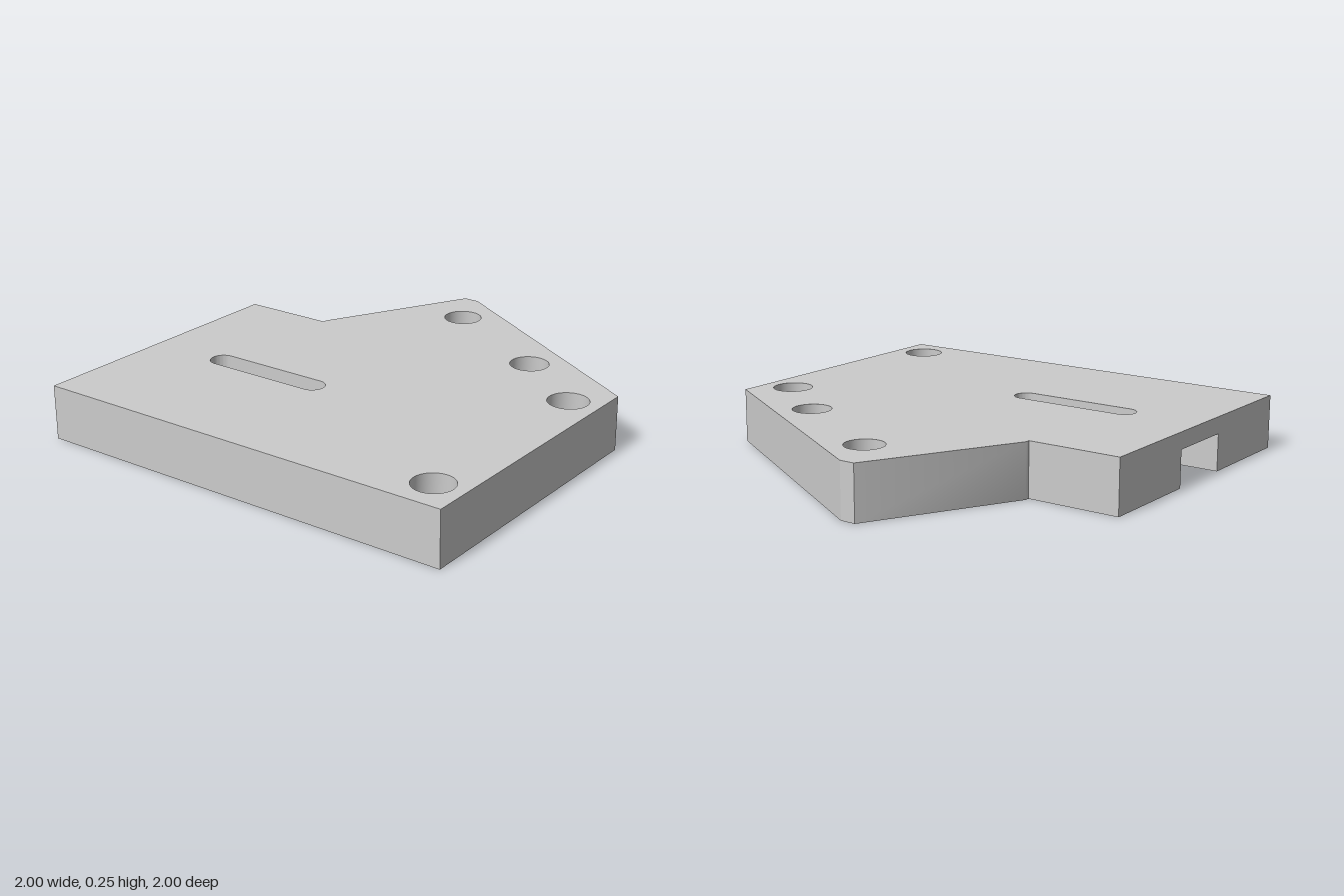
import * as THREE from 'three';
import { mergeGeometries, toCreasedNormals } from 'three/addons/utils/BufferGeometryUtils.js';

const TOP = 0.245;         // plate thickness
const CEILING = 0.168;     // roof of the underside channel
const SCREW_LEDGE = 0.115; // ledge of the holes counterbored from above
const DOWEL_LEDGE = 0.075; // ledge of the holes counterbored from below

// Points [x, z] along an arc, from +x through +z
function arc(x, z, r, from = 0, to = Math.PI * 2, n = 48) {
  return Array.from({ length: n + 1 }, (_, i) => {
    const a = from + (to - from) * i / n;
    return [x + r * Math.cos(a), z + r * Math.sin(a)];
  });
}

// Vertical wall along a path; it faces the path's right-hand side
function wall(path, y0, y1) {
  const pos = [];
  for (let i = 0; i + 1 < path.length; i++) {
    const [ax, az] = path[i], [bx, bz] = path[i + 1];
    pos.push(ax, y0, az, bx, y0, bz, bx, y1, bz, ax, y0, az, bx, y1, bz, ax, y1, az);
  }
  const g = new THREE.BufferGeometry();
  g.setAttribute('position', new THREE.Float32BufferAttribute(pos, 3));
  return g;
}

// Flat geometry from outlines, reduced to plain triangles
function flat(outline, holes = [], sign = 1) {
  const pts = (list) => list.map(([x, z]) => new THREE.Vector2(x, z * sign));
  const shape = new THREE.Shape(pts(outline));
  shape.holes = holes.map((h) => new THREE.Path(pts(h)));
  const g = new THREE.ShapeGeometry(shape).toNonIndexed();
  g.deleteAttribute('uv');
  g.deleteAttribute('normal');
  return g;
}
const faceUp = (y, outline, holes) => flat(outline, holes, -1).rotateX(-Math.PI / 2).translate(0, y, 0);
const faceDown = (y, outline, holes) => flat(outline, holes).rotateX(Math.PI / 2).translate(0, y, 0);

export function createModel() {
  // Plate outline, starting and ending at the back edge
  const outline = [[-1, -1], [-1, 1], [0.32, 1], [1, -0.15], [1, -0.22],
    [0.34, -0.573], [0.32, -0.573], [0.32, -1]];

  // Underside channel, open at the back, with a slot through its roof
  const cx = -0.34, cr = 0.163;
  const channel = [[cx + cr, -1], ...arc(cx, 0.255, cr, 0, Math.PI), [cx - cr, -1]];
  const slot = [...arc(cx, -0.116, 0.056, 0, Math.PI, 24),
    ...arc(cx, -0.624, 0.056, Math.PI, Math.PI * 2, 24)];
  slot.push(slot[0]);

  const parts = [wall(outline, 0, TOP), wall(channel, 0, CEILING), wall(slot, CEILING, TOP),
    faceDown(CEILING, channel, [slot])];
  const topHoles = [slot], bottomHoles = [];

  // Stepped holes: [x, z, lower radius, upper radius, ledge height]
  const steppedHoles = [
    [-0.835, 0.855, 0.055, 0.09, SCREW_LEDGE],
    [0.155, 0.855, 0.055, 0.09, SCREW_LEDGE],
    [0.76, -0.075, 0.11, 0.087, DOWEL_LEDGE],
    [0.425, 0.5, 0.11, 0.087, DOWEL_LEDGE],
  ];
  for (const [x, z, lowR, highR, ledge] of steppedHoles) {
    const low = arc(x, z, lowR), high = arc(x, z, highR);
    parts.push(wall(low, 0, ledge), wall(high, ledge, TOP));
    parts.push(lowR < highR ? faceUp(ledge, high, [low]) : faceDown(ledge, low, [high]));
    topHoles.push(high);
    bottomHoles.push(low);
  }

  // Top and bottom faces; the channel notches the bottom at the back edge
  parts.push(faceUp(TOP, outline, topHoles));
  parts.push(faceDown(0, [...outline, ...channel], bottomHoles));

  // Back face with the channel mouth
  const back = [[-1, 0], [cx - cr, 0], [cx - cr, CEILING], [cx + cr, CEILING],
    [cx + cr, 0], [0.32, 0], [0.32, TOP], [-1, TOP]];
  parts.push(flat(back.map(([x, y]) => [-x, y])).rotateY(Math.PI).translate(0, 0, -1));

  const geometry = toCreasedNormals(mergeGeometries(parts), Math.PI / 6);
  const plate = new THREE.Mesh(geometry, new THREE.MeshStandardMaterial({ color: 0xcccccc }));
  plate.name = 'mountingPlate';

  const group = new THREE.Group();
  group.name = 'slottedPlate';
  group.add(plate);
  return group;
}
